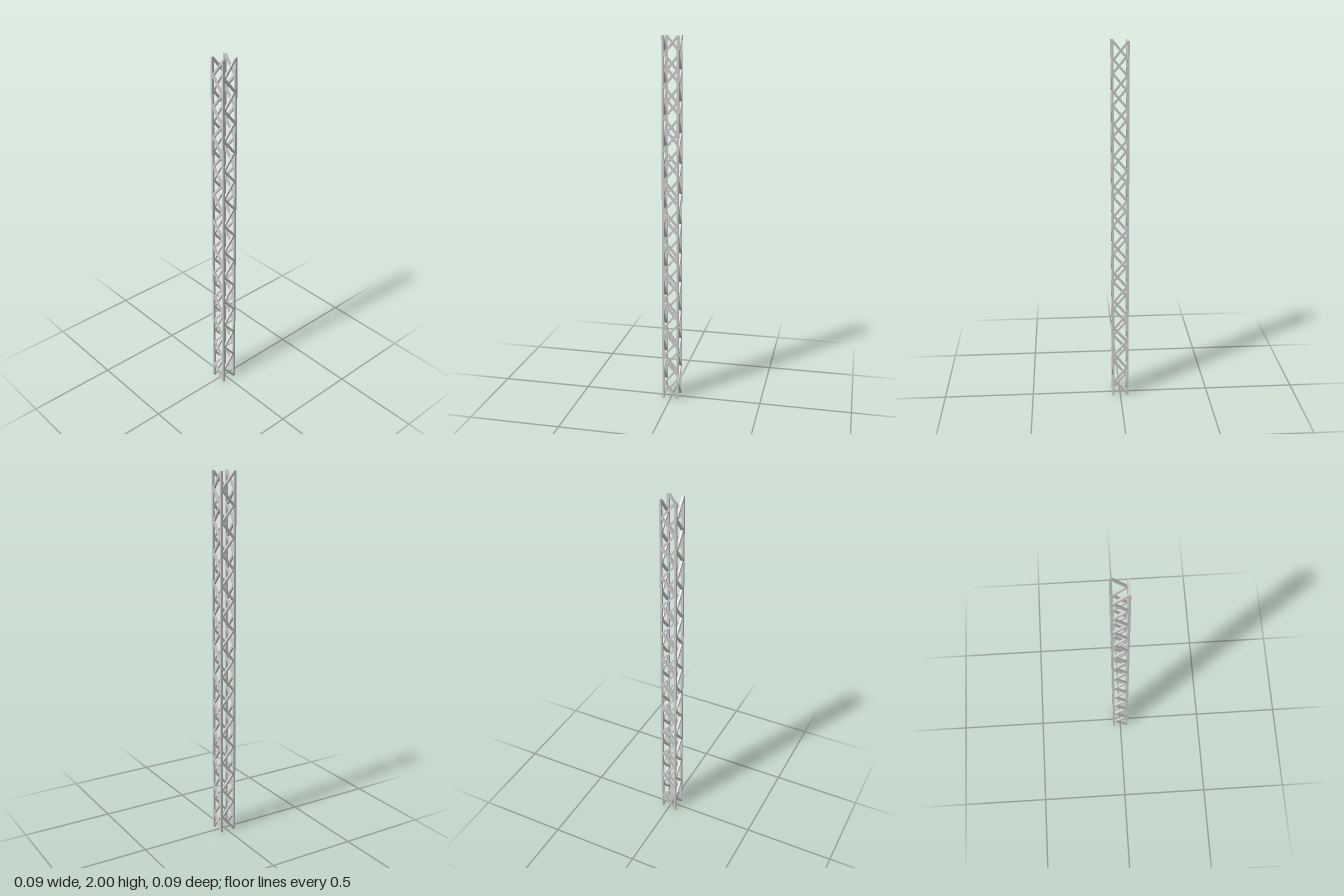
import * as THREE from 'three';

export function createModel() {
  const group = new THREE.Group();
  group.name = 'latticeMast';
  const material = new THREE.MeshStandardMaterial({ color: 0xcccccc, flatShading: true });

  const height = 2, outer = 0.046, bar = 0.0115;
  const inner = outer - bar, mid = outer - bar / 2;
  const count = 24, barHeight = 0.018;
  const rise = (height - barHeight) / count;

  // Square corner post, an open-ended tube
  const postGeometry = new THREE.CylinderGeometry(bar * Math.SQRT1_2, bar * Math.SQRT1_2, height, 4, 1, true);
  postGeometry.rotateY(Math.PI / 4);

  // Diagonal brace: a box sheared so its ends stay flush with the posts
  const braceGeometry = (direction) => {
    const geometry = new THREE.BoxGeometry(inner * 2, barHeight, bar);
    const p = geometry.attributes.position;
    for (let i = 0; i < p.count; i++) {
      p.setY(i, p.getY(i) + direction * (p.getX(i) / (inner * 2)) * rise);
    }
    geometry.computeVertexNormals();
    return geometry;
  };
  const rising = braceGeometry(1), falling = braceGeometry(-1);

  // Each side carries one post and one zigzag of braces
  for (let side = 0; side < 4; side++) {
    const panel = new THREE.Group();
    panel.name = ['frontSide', 'leftSide', 'backSide', 'rightSide'][side];
    panel.rotation.y = side * Math.PI / 2;

    const post = new THREE.Mesh(postGeometry, material);
    post.name = 'cornerPost';
    post.position.set(mid, height / 2, mid);
    panel.add(post);

    for (let i = 0; i < count; i++) {
      const brace = new THREE.Mesh(i % 2 ? rising : falling, material);
      brace.name = 'diagonalBrace';
      brace.position.set(0, barHeight / 2 + (i + 0.5) * rise, mid);
      panel.add(brace);
    }
    group.add(panel);
  }
  return group;
}
